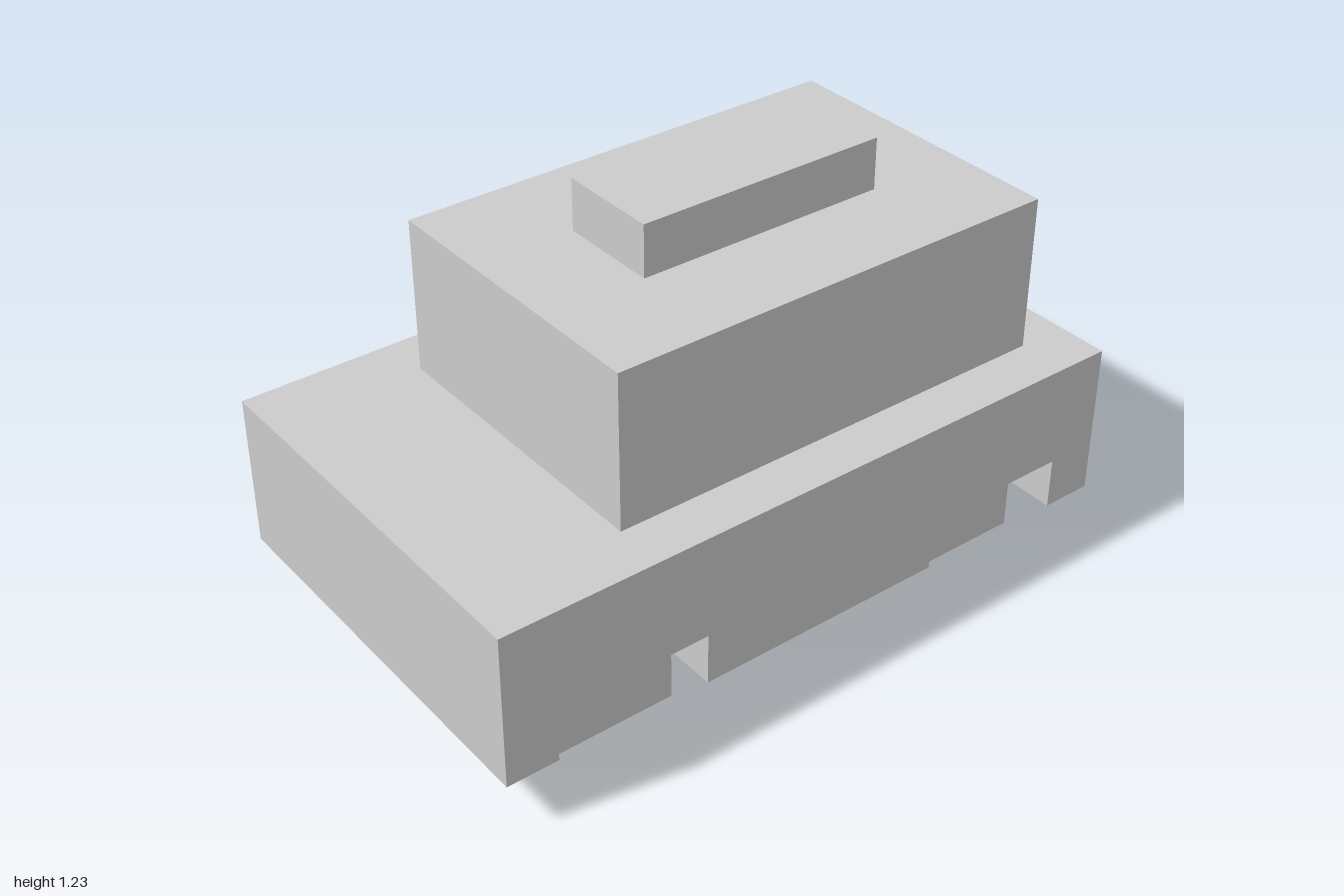
import * as THREE from 'three';

const U = 1 / 13; // block unit: the body is 26 units long
const material = new THREE.MeshStandardMaterial({ color: 0xcccccc, flatShading: true });

// Box given by its [min, max] extents in block units
function block(name, [x0, x1], [y0, y1], [z0, z1]) {
  const geometry = new THREE.BoxGeometry((x1 - x0) * U, (y1 - y0) * U, (z1 - z0) * U);
  geometry.translate((x0 + x1) / 2 * U, (y0 + y1) / 2 * U, (z0 + z1) / 2 * U);
  const mesh = new THREE.Mesh(geometry, material);
  mesh.name = name;
  return mesh;
}

// Side of the body: profile in (z, y) with two wheel arches, extruded across x
function bodySide(name, x0, x1) {
  const profile = [
    [-13, 2], [-11, 2], [-11, 4], [-5, 4], [-5, 2],
    [5, 2], [5, 4], [11, 4], [11, 2], [13, 2], [13, 8], [-13, 8],
  ];
  const shape = new THREE.Shape(profile.map(([z, y]) => new THREE.Vector2(z * U, y * U)));
  const geometry = new THREE.ExtrudeGeometry(shape, { depth: (x1 - x0) * U, bevelEnabled: false });
  geometry.rotateY(-Math.PI / 2).translate(x1 * U, 0, 0);
  const mesh = new THREE.Mesh(geometry, material);
  mesh.name = name;
  return mesh;
}

export function createModel() {
  const model = new THREE.Group();
  model.name = 'blockCar';

  // Lower body
  model.add(block('bodyCore', [-4, 4], [2, 8], [-13, 13]));
  model.add(bodySide('bodySideLeft', 4, 8));
  model.add(bodySide('bodySideRight', -8, -4));

  // Cabin, set towards the back, with the roof block on top
  model.add(block('cabin', [-6, 6], [8, 14], [-11, 7]));
  model.add(block('roofBlock', [-2, 2], [14, 16], [-7, 3]));

  // Square wheels, recessed in the arches
  for (const [side, x] of [['Left', [4, 6]], ['Right', [-6, -4]]]) {
    model.add(block('frontWheel' + side, x, [0, 4], [5, 11]));
    model.add(block('backWheel' + side, x, [0, 4], [-11, -5]));
  }

  return model;
}
